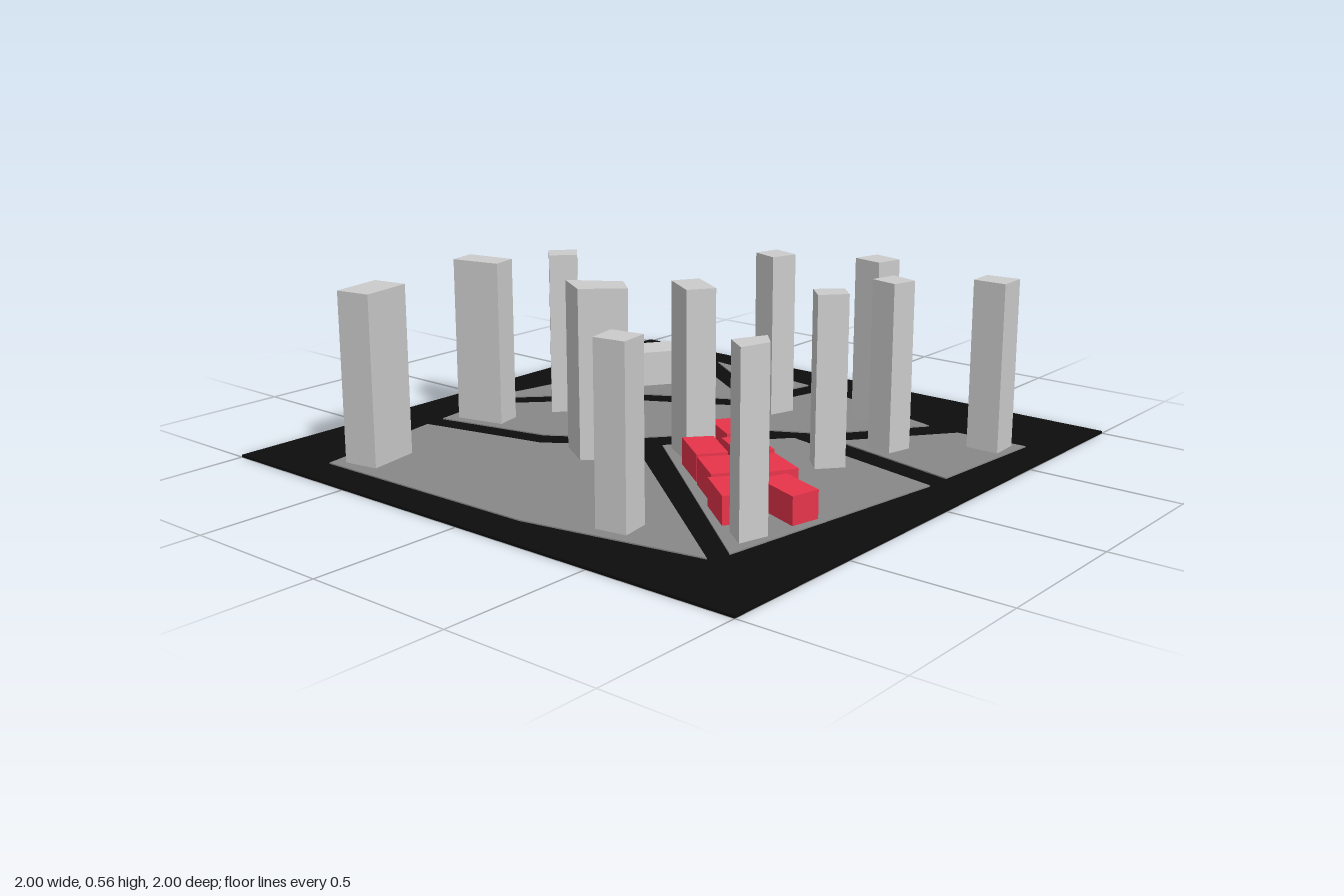
import * as THREE from 'three';

const mat = (color) => new THREE.MeshStandardMaterial({ color, flatShading: true });

// Upright prism over a ground outline of [x, z] corners
function prism(name, outline, y0, y1, material) {
  const shape = new THREE.Shape(outline.map(([x, z]) => new THREE.Vector2(x, -z)));
  const geo = new THREE.ExtrudeGeometry(shape, { depth: y1 - y0, bevelEnabled: false });
  geo.rotateX(-Math.PI / 2).translate(0, y0, 0);
  const mesh = new THREE.Mesh(geo, material);
  mesh.name = name;
  return mesh;
}

const BASE = 0.008, PLOT = 0.012, TOWER = 0.565, LOW = 0.137, HOUSE = 0.1;

// City blocks between the roads
const plots = [
  [[-0.88, -0.71], [-0.4, -0.79], [-0.305, -0.35], [-0.13, -0.09], [-0.755, 0.715], [-0.866, 0.115]],
  [[-0.32, -0.8], [-0.11, -0.827], [0.25, -0.48], [0.47, -0.083], [0.813, 0.003], [0.673, 0.527],
    [0.374, 0.307], [0.289, 0.147], [-0.07, -0.152], [-0.235, -0.404]],
  [[-0.043, -0.874], [0.877, -0.693], [0.529, -0.152], [0.332, -0.511]],
  [[0.882, -0.553], [0.829, -0.083], [0.604, -0.136]],
  [[-0.07, -0.024], [0.267, 0.259], [0.139, 0.858], [-0.69, 0.741]],
  [[0.332, 0.388], [0.663, 0.644], [0.674, 0.89], [0.23, 0.858]],
];

// Tower footprints
const towers = [
  [[-0.845, -0.671], [-0.668, -0.703], [-0.647, -0.586], [-0.824, -0.553]],
  [[-0.278, -0.765], [-0.182, -0.787], [-0.15, -0.618], [-0.24, -0.596]],
  [[0.043, -0.634], [0.112, -0.564], [0.043, -0.5], [-0.027, -0.564]],
  [[-0.283, -0.243], [-0.182, -0.088], [-0.251, -0.008], [-0.358, -0.12]],
  [[-0.075, 0.019], [0.005, 0.067], [-0.075, 0.2], [-0.155, 0.147]],
  [[-0.781, 0.334], [-0.684, 0.313], [-0.668, 0.42], [-0.765, 0.436]],
  [[0.465, -0.056], [0.556, -0.035], [0.524, 0.067], [0.433, 0.04]],
  [[0.604, 0.259], [0.7, 0.281], [0.674, 0.388], [0.583, 0.366]],
  [[0.107, 0.436], [0.176, 0.505], [0.118, 0.564], [0.043, 0.5]],
  [[0.348, 0.495], [0.439, 0.516], [0.412, 0.612], [0.326, 0.591]],
  [[0.545, 0.746], [0.636, 0.741], [0.647, 0.853], [0.545, 0.858]],
  [[-0.561, 0.639], [-0.46, 0.687], [-0.519, 0.741], [-0.615, 0.714]],
];

// Row house footprints
const houses = [
  [[-0.182, 0.152], [-0.107, 0.217], [-0.209, 0.356], [-0.289, 0.297]],
  [[-0.305, 0.313], [-0.219, 0.382], [-0.316, 0.511], [-0.406, 0.447]],
  [[-0.433, 0.457], [-0.353, 0.521], [-0.449, 0.655], [-0.535, 0.591]],
  [[0.021, 0.099], [0.112, 0.158], [0.027, 0.297], [-0.064, 0.238]],
  [[-0.107, 0.249], [-0.011, 0.302], [-0.096, 0.447], [-0.193, 0.388]],
  [[-0.203, 0.414], [-0.123, 0.468], [-0.198, 0.612], [-0.294, 0.559]],
  [[-0.348, 0.575], [-0.257, 0.612], [-0.316, 0.767], [-0.412, 0.746]],
];

export function createModel() {
  const city = new THREE.Group();
  city.name = 'cityBlockModel';
  const black = mat(0x0d0d0d), paving = mat(0x888888), grey = mat(0xcccccc), red = mat(0xe8344b);

  // Square road base
  city.add(prism('roadBase', [[-1, -1], [1, -1], [1, 1], [-1, 1]], 0, BASE, black));

  // Repeated parts, one group per kind
  const addAll = (name, part, outlines, y0, y1, material) => {
    const group = new THREE.Group();
    group.name = name;
    outlines.forEach((o, i) => group.add(prism(`${part}${i + 1}`, o, y0, y1, material)));
    city.add(group);
  };
  addAll('plots', 'plot', plots, BASE, PLOT, paving);
  addAll('towers', 'tower', towers, PLOT, TOWER, grey);
  addAll('rowHouses', 'rowHouse', houses, PLOT, HOUSE, red);

  // Single low building at the back right
  const low = [[0.465, -0.692], [0.631, -0.586], [0.551, -0.463], [0.385, -0.575]];
  city.add(prism('lowBuilding', low, PLOT, LOW, grey));
  return city;
}
